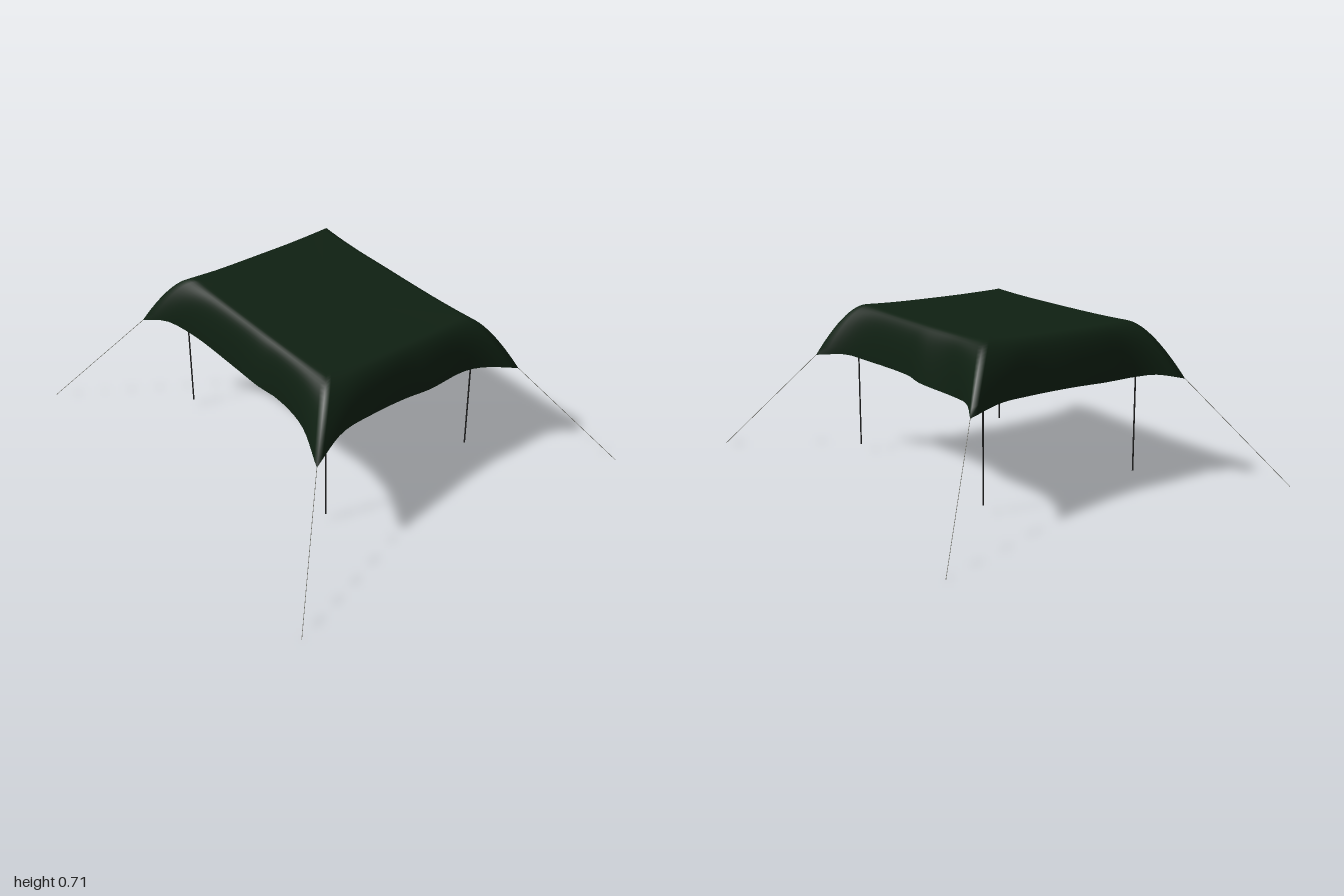
import * as THREE from 'three';

const V = (x, y, z) => new THREE.Vector3(x, y, z);
const N = 28; // segments per canopy side

// Hem of each side, corner to corner: +x, back, -x, front
const HEM = [
  [[0.67, 0.465, 0.56], [0.62, 0.525, 0.4], [0.575, 0.505, 0.2], [0.555, 0.485, 0], [0.565, 0.483, -0.12], [0.56, 0.487, -0.32], [0.585, 0.48, -0.42], [0.66, 0.462, -0.55]],
  [[0.66, 0.462, -0.55], [0.52, 0.48, -0.47], [0.38, 0.475, -0.44], [0, 0.478, -0.435], [-0.1, 0.472, -0.45], [-0.37, 0.463, -0.437], [-0.52, 0.475, -0.48], [-0.675, 0.465, -0.565]],
  [[-0.675, 0.465, -0.565], [-0.615, 0.485, -0.38], [-0.575, 0.48, -0.22], [-0.57, 0.482, 0], [-0.56, 0.475, 0.2], [-0.557, 0.475, 0.37], [-0.6, 0.482, 0.45], [-0.67, 0.465, 0.55]],
  [[-0.67, 0.465, 0.55], [-0.55, 0.5, 0.495], [-0.4, 0.485, 0.45], [-0.1, 0.467, 0.43], [0.1, 0.477, 0.438], [0.22, 0.478, 0.427], [0.42, 0.475, 0.452], [0.67, 0.465, 0.56]],
];
const CORNERS = [[1, 1], [1, -1], [-1, -1], [-1, 1]];

// Point on a rectangle of half sizes hx, hz, matching the hem order
function rectPoint(side, t, hx, hz, y) {
  const [ax, az] = CORNERS[side], [bx, bz] = CORNERS[(side + 1) % 4];
  return V((ax + (bx - ax) * t) * hx, y, (az + (bz - az) * t) * hz);
}

// Cloth: nested loops across the flat roof, then over the shoulder to the hem
function canopyGeometry() {
  const hems = HEM.map(s => new THREE.CatmullRomCurve3(s.map(p => V(...p)), false, 'centripetal'));
  const loops = [];
  const roofRings = 8, skirtRings = 14, count = 4 * N;
  for (let r = 0; r <= roofRings + skirtRings; r++) {
    const loop = [];
    for (let j = 0; j < count; j++) {
      const side = Math.floor(j / N), t = (j % N) / N;
      const edgeY = 0.706 + 0.007 * Math.abs(2 * t - 1) ** 3;
      if (r <= roofRings) {
        const k = r / roofRings;
        loop.push(rectPoint(side, t, 0.47 * k, 0.36 * k, 0.704 + (edgeY - 0.704) * k * k));
      } else {
        const k = (r - roofRings) / skirtRings;
        loop.push(new THREE.QuadraticBezierCurve3(
          rectPoint(side, t, 0.47, 0.36, edgeY),
          rectPoint(side, t, 0.555, 0.428, edgeY + 0.007),
          hems[side].getPointAt(t)).getPoint(k));
      }
    }
    loops.push(loop);
  }
  const pos = [], idx = [];
  loops.forEach(l => l.forEach(p => pos.push(p.x, p.y, p.z)));
  for (let r = 0; r < loops.length - 1; r++) {
    for (let j = 0; j < count; j++) {
      const n = (j + 1) % count;
      const a = r * count + j, b = a + count, c = r * count + n, d = c + count;
      idx.push(b, d, c);
      if (r > 0) idx.push(a, b, c);
      else idx.push(a, b, c);
    }
  }
  const g = new THREE.BufferGeometry();
  g.setAttribute('position', new THREE.Float32BufferAttribute(pos, 3));
  g.setIndex(idx);
  g.computeVertexNormals();
  // the innermost loop is a single point: give it a clean upward normal
  for (let j = 0; j < count; j++) g.attributes.normal.setXYZ(j, 0, 1, 0);
  return g;
}

// Thin round bar between two points
function bar(name, a, b, radius, material) {
  const mesh = new THREE.Mesh(new THREE.CylinderGeometry(radius, radius, a.distanceTo(b), 8), material);
  mesh.name = name;
  mesh.position.copy(a).add(b).multiplyScalar(0.5);
  mesh.quaternion.setFromUnitVectors(V(0, 1, 0), b.clone().sub(a).normalize());
  return mesh;
}

export function createModel() {
  const model = new THREE.Group();
  model.name = 'canopyShelter';
  const cloth = new THREE.MeshStandardMaterial({ color: 0x0f2012, side: THREE.DoubleSide });
  const poleMat = new THREE.MeshStandardMaterial({ color: 0x222222 });
  const ropeMat = new THREE.MeshStandardMaterial({ color: 0x77776f });

  const canopy = new THREE.Mesh(canopyGeometry(), cloth);
  canopy.name = 'canopy';
  model.add(canopy);

  // Upright poles and guy ropes, one of each per corner
  CORNERS.forEach(([sx, sz], i) => {
    model.add(bar('pole', V(sx * 0.518, 0.035, sz * 0.4), V(sx * 0.518, 0.69, sz * 0.4), 0.0035, poleMat));
    model.add(bar('guyRope', V(sx * 0.999, 0.001, sz * 0.885), V(...HEM[i][0]), 0.0012, ropeMat));
  });
  return model;
}
